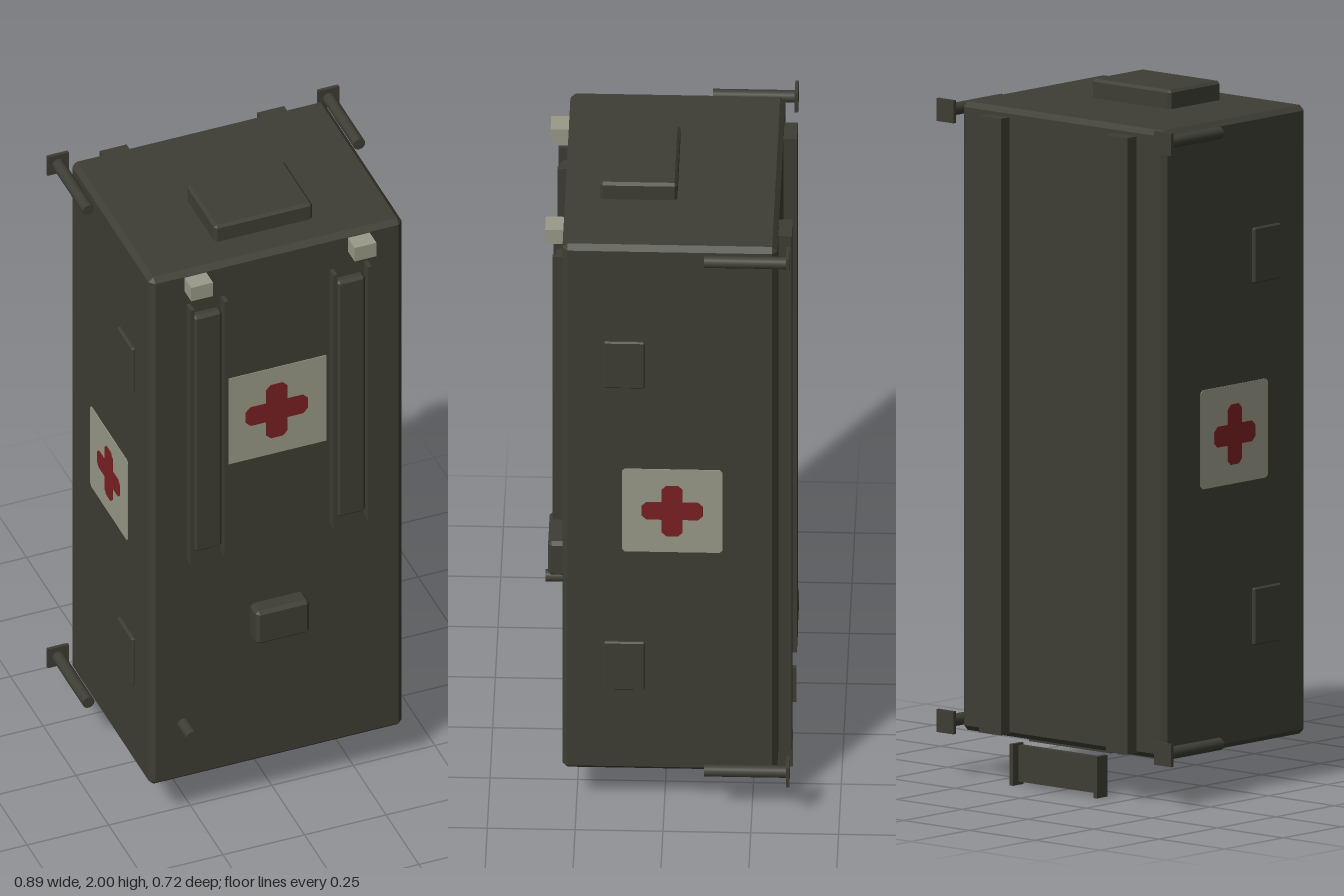
import * as THREE from 'three';
import { ConvexGeometry } from 'three/addons/geometries/ConvexGeometry.js';

const mat = (name, color) => {
  const m = new THREE.MeshStandardMaterial({ color });
  m.name = name;
  return m;
};

// Box given by its limits, with every edge chamfered by c
function chamferBox(x0, x1, y0, y1, z0, z1, c) {
  const pts = [];
  const hx = (x1 - x0) / 2, hy = (y1 - y0) / 2, hz = (z1 - z0) / 2;
  for (const i of [-1, 1]) for (const j of [-1, 1]) for (const k of [-1, 1]) {
    pts.push(new THREE.Vector3(i * hx, j * (hy - c), k * (hz - c)));
    pts.push(new THREE.Vector3(i * (hx - c), j * hy, k * (hz - c)));
    pts.push(new THREE.Vector3(i * (hx - c), j * (hy - c), k * hz));
  }
  return new ConvexGeometry(pts).translate((x0 + x1) / 2, (y0 + y1) / 2, (z0 + z1) / 2);
}

function box(x0, x1, y0, y1, z0, z1) {
  return new THREE.BoxGeometry(x1 - x0, y1 - y0, z1 - z0)
    .translate((x0 + x1) / 2, (y0 + y1) / 2, (z0 + z1) / 2);
}

// Rectangle with cut corners
function panelShape(w, h, c) {
  const a = w / 2, b = h / 2;
  return new THREE.Shape([
    [-a + c, -b], [a - c, -b], [a, -b + c], [a, b - c],
    [a - c, b], [-a + c, b], [-a, b - c], [-a, -b + c],
  ].map(([x, y]) => new THREE.Vector2(x, y)));
}

// Plus sign with softened arm ends
function crossShape(r, t) {
  const c = t * 0.45, pts = [];
  const arm = [[t, t], [t, r - c], [t - c, r], [-t + c, r], [-t, r - c]];
  for (let i = 0; i < 4; i++) {
    for (const [x, y] of arm) {
      pts.push(new THREE.Vector2(x, y).rotateAround(new THREE.Vector2(), i * Math.PI / 2));
    }
  }
  return new THREE.Shape(pts);
}

const plate = (shape, depth) => new THREE.ExtrudeGeometry(shape, { depth, bevelEnabled: false });

export function createModel() {
  const olive = mat('olive drab', 0x3e3e35);
  const cream = mat('cream', 0x9a9a89);
  const red = mat('dark red', 0x7a2022);
  const model = new THREE.Group();
  model.name = 'fieldCabinet';

  const add = (name, geo, m = olive, parent = model) => {
    const mesh = new THREE.Mesh(geo, m);
    mesh.name = name;
    parent.add(mesh);
    return mesh;
  };

  // Main body and roof hatch
  add('body', chamferBox(-0.388, 0.388, 0.13, 1.945, -0.322, 0.29, 0.015));
  add('roofHatch', chamferBox(-0.15, 0.15, 1.93, 2.0, -0.03, 0.19, 0.008));

  for (const s of [-1, 1]) {
    const side = s < 0 ? 'right' : 'left';
    const span = (a, b) => (s > 0 ? [a, b] : [-b, -a]);

    // Full-height runners on the back
    add(side + 'BackRunner', box(...span(0.2, 0.283), 0.14, 1.92, -0.36, -0.315));

    // Lamps above the front strips
    add(side + 'Lamp', box(...span(0.217, 0.284), 1.88, 1.928, 0.285, 0.342), cream);

    // Front strip: two thin rails with a raised panel between
    for (const x of [0.167, 0.272]) {
      add(side + 'FrontRail', box(...span(x - 0.006, x + 0.006), 0.92, 1.83, 0.285, 0.321));
    }
    add(side + 'FrontStrip', chamferBox(...span(0.176, 0.264), 0.95, 1.795, 0.28, 0.314, 0.009));

    // Side access covers
    for (const [y0, y1] of [[0.415, 0.58], [1.46, 1.62]]) {
      add(side + 'Cover', chamferBox(...span(0.378, 0.397), y0, y1, 0.055, 0.172, 0.004));
    }

    // Corner legs lying along z with square feet
    for (const y of [0.155, 1.919]) {
      const leg = new THREE.CylinderGeometry(0.018, 0.018, 0.24, 16);
      leg.rotateX(Math.PI / 2).translate(s * 0.415, y, -0.235);
      add(side + 'Leg', leg);
      add(side + 'Foot', box(...span(0.382, 0.447), y - 0.033, y + 0.033, -0.358, -0.348));
    }

    // Flanges at the ends of the step
    add(side + 'StepFlange', box(...span(0.153, 0.166), 0, 0.12, -0.36, -0.315));
  }

  // Step below the back
  add('stepPlate', box(-0.155, 0.155, 0.01, 0.115, -0.338, -0.32));

  // Front box and knob
  add('frontBox', chamferBox(-0.082, 0.082, 0.585, 0.702, 0.28, 0.34, 0.01));
  const knob = new THREE.CylinderGeometry(0.018, 0.018, 0.08, 16);
  add('frontKnob', knob.rotateX(Math.PI / 2).translate(-0.287, 0.332, 0.318));

  // Door underneath, with hinges and a handle
  add('bottomDoor', box(-0.155, 0.155, 0.12, 0.14, -0.29, 0.24));
  for (const z of [0.175, -0.225]) {
    add('bottomHinge', box(-0.165, -0.145, 0.112, 0.13, z - 0.025, z + 0.025));
  }
  add('bottomHandle', box(0.085, 0.115, 0.103, 0.125, -0.045, -0.005));

  // Painted cream panels with red crosses
  const badge = (name, w, h, cut, r, t, pos, rot) => {
    const g = new THREE.Group();
    g.name = name;
    add('panel', plate(panelShape(w, h, cut), 0.003), cream, g);
    add('cross', plate(crossShape(r, t), 0.005), red, g);
    g.position.set(...pos);
    g.rotation.set(...rot);
    model.add(g);
  };
  const q = Math.PI / 2;
  badge('frontBadge', 0.306, 0.306, 0.002, 0.095, 0.033, [-0.002, 1.375, 0.289], [0, 0, 0]);
  badge('leftBadge', 0.286, 0.286, 0.008, 0.087, 0.03, [0.387, 1.035, -0.023], [0, q, 0]);
  badge('rightBadge', 0.286, 0.286, 0.008, 0.087, 0.03, [-0.387, 1.035, -0.023], [0, -q, 0]);
  badge('bottomBadge', 0.25, 0.25, 0.06, 0.07, 0.025, [-0.02, 0.121, 0.025], [q, 0, 0]);

  return model;
}
